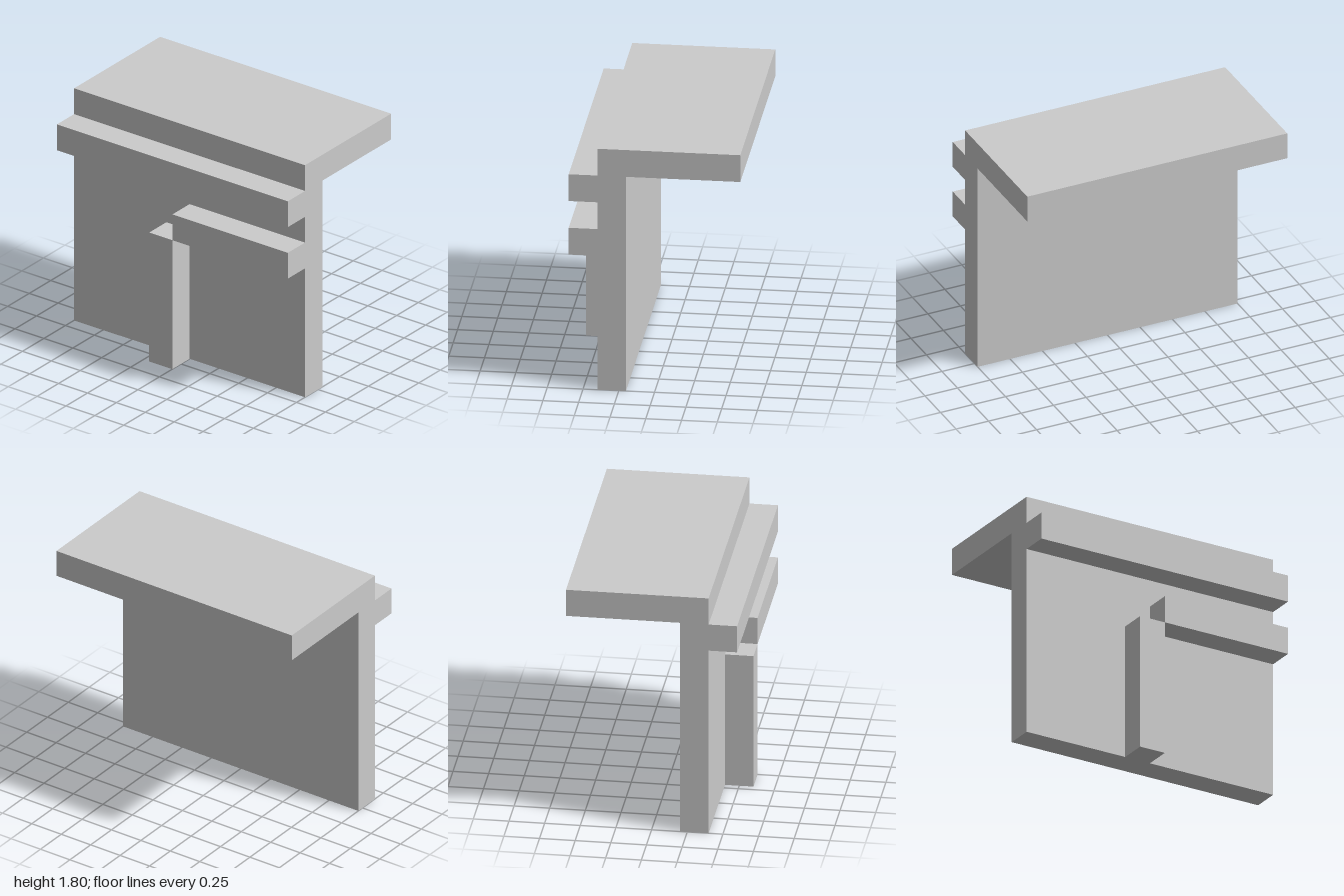
import * as THREE from 'three';

export function createModel() {
  const model = new THREE.Group();
  model.name = 'wallWithCanopy';
  const material = new THREE.MeshStandardMaterial({ color: 0xcccccc, flatShading: true });

  const add = (name, geometry) => {
    const mesh = new THREE.Mesh(geometry, material);
    mesh.name = name;
    model.add(mesh);
  };

  // Box given by its extents along each axis
  const addBox = (name, [x0, x1], [y0, y1], [z0, z1]) => {
    const geometry = new THREE.BoxGeometry(x1 - x0, y1 - y0, z1 - z0);
    geometry.translate((x0 + x1) / 2, (y0 + y1) / 2, (z0 + z1) / 2);
    add(name, geometry);
  };

  // Wall and rear canopy: one L-shaped side profile (z, y) swept across x
  const profile = new THREE.Shape(
    [[0.2, 0], [0.4, 0], [0.4, 1.8], [-0.6, 1.8], [-0.6, 1.6], [0.2, 1.6]]
      .map(([z, y]) => new THREE.Vector2(z, y))
  );
  const wall = new THREE.ExtrudeGeometry(profile, { depth: 2, bevelEnabled: false });
  wall.rotateY(-Math.PI / 2).translate(1, 0, 0);
  add('wallAndCanopy', wall);

  // Raised trim on the front face
  const trimDepth = [0.4, 0.6];
  addBox('upperLedge', [-1, 1], [1.4, 1.6], trimDepth);
  addBox('lowerLedge', [0, 1], [1, 1.2], trimDepth);
  addBox('post', [-0.2, 0], [0, 1], trimDepth);

  return model;
}
